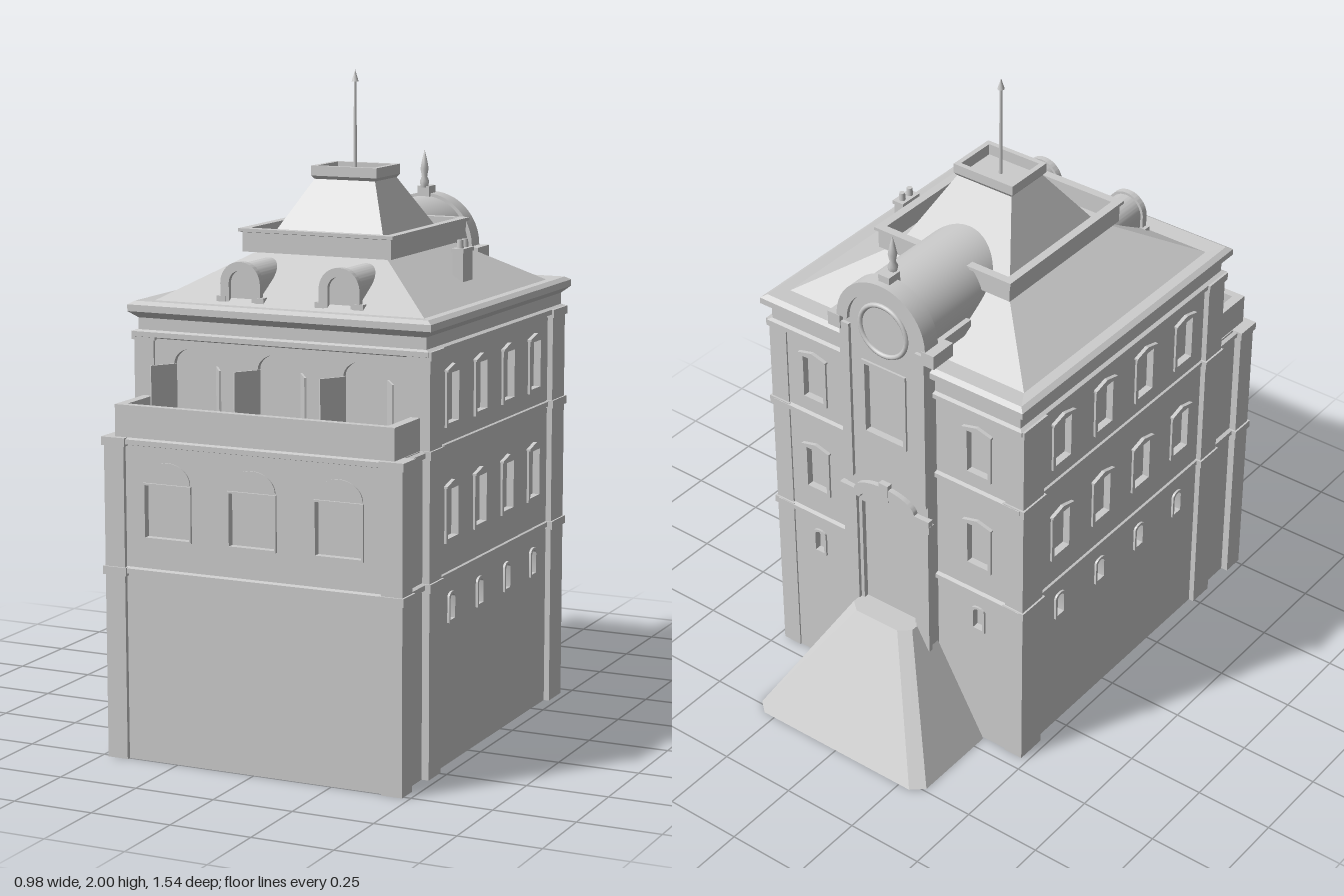
import * as THREE from 'three';
import { toCreasedNormals } from 'three/addons/utils/BufferGeometryUtils.js';

const mat = new THREE.MeshStandardMaterial({ color: 0xcccccc, side: THREE.DoubleSide });

function add(parent, name, geo, x = 0, y = 0, z = 0) {
  const m = new THREE.Mesh(geo, mat);
  m.name = name;
  m.position.set(x, y, z);
  parent.add(m);
  return m;
}
const box = (p, name, w, h, d, x, y, z) => add(p, name, new THREE.BoxGeometry(w, h, d), x, y + h / 2, z);

// Skin stacked rings; each ring is { y, pts: [[x, z], ...] }
function loft(rings, capTop = false) {
  const pos = [];
  const v = (r, i) => { const p = r.pts[i % r.pts.length]; return [p[0], r.y, p[1]]; };
  for (let k = 0; k + 1 < rings.length; k++) {
    const a = rings[k], b = rings[k + 1];
    for (let i = 0; i < a.pts.length; i++) {
      pos.push(...v(a, i), ...v(a, i + 1), ...v(b, i + 1), ...v(a, i), ...v(b, i + 1), ...v(b, i));
    }
  }
  const top = rings[rings.length - 1];
  if (capTop) for (let i = 1; i + 1 < top.pts.length; i++) pos.push(...v(top, 0), ...v(top, i), ...v(top, i + 1));
  const g = new THREE.BufferGeometry();
  g.setAttribute('position', new THREE.Float32BufferAttribute(pos, 3));
  g.computeVertexNormals();
  return g;
}
const rect = (hx, zb, zf, y) => ({ y, pts: [[-hx, zf], [hx, zf], [hx, zb], [-hx, zb]] });
const grown = (hx, zb, zf, steps) => steps.map(([d, y]) => rect(hx + d, zb - d, zf + d, y));

// Upright opening with an optional elliptical head
function opening(x, y, w, h, rise = 0) {
  const s = new THREE.Shape();
  s.moveTo(x - w / 2, y);
  s.lineTo(x + w / 2, y);
  s.lineTo(x + w / 2, y + h - rise);
  if (rise) s.absellipse(x, y + h - rise, w / 2, rise, 0, Math.PI, false);
  else s.lineTo(x - w / 2, y + h);
  s.closePath();
  return s;
}
const hole = (s) => new THREE.Path(s.getPoints(14));
const extrude = (s, depth) => toCreasedNormals(
  new THREE.ExtrudeGeometry(s, { depth, bevelEnabled: false, curveSegments: 20 }), 0.5);
function archRing(r0, r1) {
  const s = new THREE.Shape();
  s.absarc(0, 0, r1, 0, Math.PI, false);
  s.absarc(0, 0, r0, Math.PI, 0, true);
  s.closePath();
  return s;
}

// Wall in local xy facing +z, with recessed panes and raised frames
function facade(parent, name, outline, openings, depth = 0.02) {
  const g = new THREE.Group();
  g.name = name;
  for (const o of openings) {
    const s = opening(o.x, o.y, o.w, o.h, o.rise);
    outline.holes.push(hole(s));
    add(g, 'pane', new THREE.ShapeGeometry(s, 14), 0, 0, -0.016);
    if (!o.frame) continue;
    const t = o.frame;
    const f = opening(o.x, o.y - t, o.w + 2 * t, o.h + 2 * t, o.rise);
    f.holes.push(hole(s));
    add(g, 'windowFrame', extrude(f, 0.007));
    if (o.peak) {
      const p = new THREE.Shape(), top = o.y + o.h + t, half = o.w / 2 + t + 0.004;
      p.moveTo(o.x - half, top - 0.006);
      p.lineTo(o.x + half, top - 0.006);
      p.lineTo(o.x + half, top);
      p.lineTo(o.x, top + 0.014);
      p.lineTo(o.x - half, top);
      add(g, 'windowHood', extrude(p, 0.012));
    }
  }
  add(g, 'wall', extrude(outline, depth), 0, 0, -depth);
  parent.add(g);
  return g;
}
const wallRect = (w, y0, y1) => opening(0, y0, w, y1 - y0);
const column = (x) => [
  { x, y: 1.02, w: 0.075, h: 0.145, frame: 0.012, peak: true },
  { x, y: 0.68, w: 0.075, h: 0.145, frame: 0.012, peak: true },
  { x, y: 0.435, w: 0.034, h: 0.075, rise: 0.015, frame: 0.008 },
];

function buildWalls(g) {
  // Side and rear walls
  for (const s of [1, -1]) {
    const wins = [0.385, 0.175, -0.035, -0.245].flatMap((z) => column(-s * (z - 0.06)));
    const f = facade(g, s > 0 ? 'leftWall' : 'rightWall', wallRect(1.02, 0, 1.28), wins);
    f.position.set(s * 0.46, 0, 0.06);
    f.rotation.y = s * Math.PI / 2;
    box(g, 'frontBlockSide', 0.02, 0.95, 0.19, s * 0.445, 0, 0.655);
  }
  const back = facade(g, 'backWall', wallRect(0.92, 0, 1.28), [-0.31, 0.31].flatMap(column));
  back.position.z = -0.45;
  back.rotation.y = Math.PI;

  // Front block and set-back upper front
  const xs = [-0.275, 0, 0.275];
  const low = facade(g, 'frontWall', wallRect(0.9, 0, 0.95),
    xs.map((x) => ({ x, y: 0.675, w: 0.145, h: 0.155, frame: 0.006 })));
  low.position.z = 0.75;
  for (const x of xs) {
    const hood = new THREE.Shape();
    hood.absellipse(x, 0.84, 0.075, 0.06, 0, Math.PI, false);
    add(low, 'archPanel', extrude(hood, 0.004));
  }
  facade(g, 'upperFrontWall', wallRect(0.92, 0.94, 1.28),
    xs.map((x) => ({ x, y: 0.965, w: 0.145, h: 0.245, rise: 0.05 }))).position.z = 0.57;

  // Open door leaves on the balcony
  for (const x of xs) for (const s of [-1, 1]) {
    const leaf = box(g, 'doorLeaf', 0.085, 0.195, 0.006, x + s * 0.091, 0.965, 0.602);
    leaf.rotation.y = -s * 0.98;
  }

  // Balcony floor and parapet
  box(g, 'balconyFloor', 0.9, 0.02, 0.2, 0, 0.945, 0.65);
  for (const s of [-1, 1]) box(g, 'parapetSide', 0.03, 0.1, 0.17, s * 0.432, 0.96, 0.655);
  box(g, 'parapetFront', 0.894, 0.1, 0.025, 0, 0.96, 0.737);

  // Corner pilasters with blocks at each string course
  for (const s of [-1, 1]) for (const [z, d, h] of [[0.728, 0.07, 0.95], [0.535, 0.085, 1.25], [-0.405, 0.1, 1.25]]) {
    box(g, 'pilaster', 0.065, h, d, s * 0.445, 0, z);
    for (const y of [0.555, 0.94, 1.225]) if (y < h) box(g, 'pilasterBlock', 0.077, 0.025, d + 0.012, s * 0.445, y, z);
  }

  // String courses
  for (const y of [0.56, 0.943]) {
    add(g, 'stringCourse', loft(grown(0.455, -0.45, 0.75, [[0, y], [0.012, y + 0.003], [0.012, y + 0.018], [0, y + 0.022]])));
  }
}

function buildRoof(g) {
  add(g, 'cornice', loft([
    ...grown(0.46, -0.45, 0.57, [[0, 1.23], [0.016, 1.235], [0.016, 1.25], [0.004, 1.255], [0.004, 1.29],
      [0.028, 1.31], [0.028, 1.33], [0.012, 1.34]]), rect(0.435, -0.40, 0.525, 1.336)]));
  add(g, 'lowerRoof', loft([rect(0.435, -0.40, 0.525, 1.336), rect(0.205, -0.17, 0.29, 1.473)]));
  // Walled terrace around the upper roof
  add(g, 'roofParapet', loft([rect(0.205, -0.17, 0.29, 1.47), rect(0.243, -0.213, 0.335, 1.47),
    rect(0.243, -0.213, 0.335, 1.528), rect(0.252, -0.222, 0.344, 1.53), rect(0.252, -0.222, 0.344, 1.54),
    rect(0.225, -0.195, 0.317, 1.54), rect(0.225, -0.195, 0.317, 1.48)], true));
  add(g, 'upperRoof', loft([rect(0.2, -0.155, 0.278, 1.48), rect(0.1, -0.015, 0.138, 1.675)]));
  add(g, 'roofCrown', loft([rect(0.1, -0.015, 0.138, 1.675), rect(0.108, -0.022, 0.146, 1.685),
    rect(0.108, -0.022, 0.146, 1.715), rect(0.092, -0.006, 0.13, 1.715), rect(0.092, -0.006, 0.13, 1.68)], true));

  // Spire
  add(g, 'spirePole', new THREE.CylinderGeometry(0.004, 0.006, 0.3, 8), 0, 1.825, 0.065);
  add(g, 'spireTip', new THREE.ConeGeometry(0.011, 0.035, 8), 0, 1.9825, 0.065);

  // Round-headed dormers
  for (const s of [-1, 1]) {
    const d = new THREE.Group();
    d.name = 'dormer';
    d.position.set(s * 0.16, 0, 0.5);
    add(d, 'dormerVault', extrude(opening(0, 1.335, 0.112, 0.12, 0.056), 0.2), 0, 0, -0.205);
    const frame = opening(0, 1.335, 0.13, 0.128, 0.065);
    frame.holes.push(hole(opening(0, 1.337, 0.074, 0.1, 0.037)));
    add(d, 'dormerFrame', extrude(frame, 0.02), 0, 0, -0.01);
    for (const t of [-1, 1]) box(d, 'dormerFoot', 0.03, 0.025, 0.024, t * 0.062, 1.335, 0);
    g.add(d);
  }

  // Chimney
  box(g, 'chimney', 0.034, 0.13, 0.072, 0.343, 1.35, 0.042);
  box(g, 'chimneyCap', 0.04, 0.012, 0.08, 0.343, 1.468, 0.042);
  for (const z of [0.024, 0.06]) add(g, 'chimneyPot', new THREE.CylinderGeometry(0.009, 0.011, 0.025, 10), 0.343, 1.492, z);
}

function buildRearBay(g) {
  const bay = facade(g, 'rearBay', opening(0, 0.26, 0.31, 1.315, 0.155), [
    { x: 0, y: 1.04, w: 0.14, h: 0.24, frame: 0.012 },
    { x: 0, y: 0.3, w: 0.2, h: 0.46 },
  ], 0.045);
  bay.position.z = -0.495;
  bay.rotation.y = Math.PI;
  add(bay, 'roundWindow', new THREE.TorusGeometry(0.085, 0.008, 8, 32), 0, 1.42, 0);
  add(bay, 'gableArch', extrude(archRing(0.125, 0.163), 0.06), 0, 1.42, -0.047);
  for (const s of [-1, 1]) {
    box(bay, 'bayPilaster', 0.034, 0.55, 0.014, s * 0.139, 0.85, 0.004);
    box(bay, 'shoulderBlock', 0.045, 0.045, 0.09, s * 0.173, 1.375, -0.03);
    box(bay, 'shoulderReturn', 0.02, 0.04, 0.16, s * 0.155, 1.38, -0.12);
    box(bay, 'portalJamb', 0.05, 0.47, 0.016, s * 0.137, 0.3, 0.003);
    box(bay, 'portalCapital', 0.062, 0.025, 0.026, s * 0.14, 0.765, 0.004);
  }
  // Arched pediment over the portal
  const p = new THREE.Shape();
  p.moveTo(-0.17, 0.785);
  p.lineTo(-0.095, 0.785);
  p.absellipse(0, 0.785, 0.095, 0.035, Math.PI, 0, true);
  p.lineTo(0.17, 0.785);
  p.lineTo(0.17, 0.81);
  p.lineTo(0.115, 0.81);
  p.absellipse(0, 0.81, 0.115, 0.05, 0, Math.PI, false);
  p.lineTo(-0.17, 0.81);
  add(bay, 'portalPediment', extrude(p, 0.02), 0, 0, -0.003);
  box(bay, 'portalKeystone', 0.035, 0.06, 0.026, 0, 0.815, 0.006);

  // Barrel roof behind the gable
  add(g, 'barrelRoof', extrude(opening(0, 1.3, 0.296, 0.273, 0.148), 0.38), 0, 0, -0.46);
  // Gable finial
  box(g, 'finialBase', 0.04, 0.05, 0.05, 0, 1.555, -0.462);
  add(g, 'finial', new THREE.LatheGeometry([[0.012, 1.6], [0.016, 1.62], [0.009, 1.635], [0.014, 1.66], [0.008, 1.69], [0, 1.72]]
    .map(([r, y]) => new THREE.Vector2(r, y)), 8), 0, 0, -0.445);

  // Sloped base below the portal
  const ring = (y, hx, z0, cx, z1, z2) => ({ y, pts: [[-hx, z0], [hx, z0], [hx, z1], [cx, z2], [-cx, z2], [-hx, z1]] });
  add(g, 'slopedBase', loft([ring(0, 0.33, -0.455, 0.29, -0.74, -0.775), ring(0.38, 0.115, -0.455, 0.08, -0.53, -0.56)], true));
}

export function createModel() {
  const g = new THREE.Group();
  g.name = 'townHouse';
  buildWalls(g);
  buildRoof(g);
  buildRearBay(g);
  return g;
}
